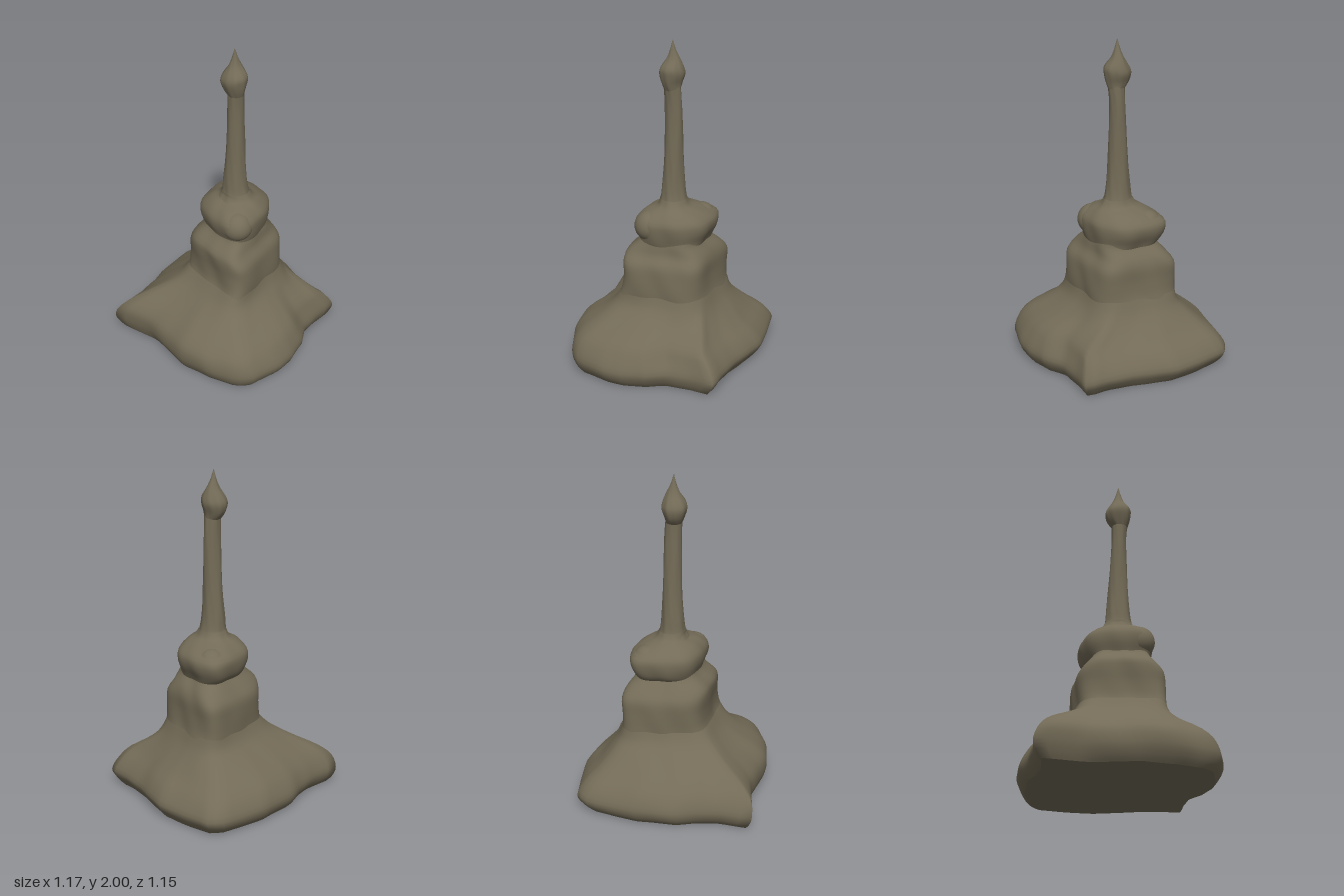
import * as THREE from 'three';

const SIDES = 96;

// Irregular four-cornered ground outline (x, z)
const OUTLINE = [
  [-0.555, -0.43], [-0.51, -0.495], [-0.35, -0.54], [-0.15, -0.58], [0, -0.56], [0.12, -0.53],
  [0.28, -0.52], [0.415, -0.54], [0.42, -0.4], [0.45, -0.24], [0.53, -0.14], [0.575, 0],
  [0.585, 0.12], [0.56, 0.33], [0.5, 0.4], [0.33, 0.48], [0.13, 0.53], [0, 0.515],
  [-0.2, 0.51], [-0.455, 0.58], [-0.46, 0.4], [-0.5, 0.24], [-0.55, 0.13], [-0.59, -0.12],
].map(([x, z]) => [x / 0.59, z / 0.575]);

// Distance from the centre to the ground outline along a direction
function outlineRadius(c, s) {
  for (let i = 0; i < OUTLINE.length; i++) {
    const [ax, az] = OUTLINE[i], [bx, bz] = OUTLINE[(i + 1) % OUTLINE.length];
    const ex = bx - ax, ez = bz - az;
    const d = c * ez - s * ex;
    if (Math.abs(d) < 1e-9) continue;
    const r = (ax * ez - az * ex) / d;
    const u = (ax * s - az * c) / d;
    if (r > 0 && u >= -1e-6 && u <= 1 + 1e-6) return r;
  }
  return 1;
}

// Ring: [y, xMin, xMax, zMin, zMax, outline share, squareness, shear]
function ringPoints([y, x0, x1, z0, z1, share, n, shear], bump) {
  const hz = (z1 - z0) / 2, hx = (x1 - x0) / 2 - shear * hz;
  const points = [];
  for (let j = 0; j < SIDES; j++) {
    const t = (j / SIDES) * Math.PI * 2, c = Math.cos(t), s = Math.sin(t);
    const square = (Math.abs(c) ** n + Math.abs(s) ** n) ** (-1 / n);
    const r = share * outlineRadius(c, s) + (1 - share) * square;
    const wobble = 1 + bump * (Math.sin(5 * t + 9 * y) + Math.sin(9 * t - 17 * y + 1)) / 2;
    const px = c * r * hx * wobble, pz = s * r * hz * wobble;
    points.push((x0 + x1) / 2 + px + shear * pz, y, (z0 + z1) / 2 + pz);
  }
  return points;
}

function makeGeometry(positions, index) {
  const geometry = new THREE.BufferGeometry();
  geometry.setAttribute('position', new THREE.Float32BufferAttribute(positions, 3));
  geometry.setIndex(index);
  geometry.computeVertexNormals();
  return geometry;
}

// Smooth skin through a stack of rings, softened between them by a spline
function loft(rings, bump, steps = 3) {
  const fine = [];
  const last = rings.length - 1;
  for (let i = 0; i <= last * steps; i++) {
    const k = Math.min(Math.floor(i / steps), last - 1), f = i / steps - k;
    const at = (m) => rings[Math.max(0, Math.min(last, m))];
    fine.push(rings[0].map((_, q) => {
      const a = at(k - 1)[q], b = at(k)[q], c = at(k + 1)[q], d = at(k + 2)[q];
      return b + 0.5 * f * (c - a + f * (2 * a - 5 * b + 4 * c - d + f * (3 * (b - c) + d - a)));
    }));
  }
  const index = [];
  for (let i = 0; i < fine.length - 1; i++) {
    for (let j = 0; j < SIDES; j++) {
      const a = i * SIDES + j, b = i * SIDES + (j + 1) % SIDES;
      index.push(a, a + SIDES, b, b, a + SIDES, b + SIDES);
    }
  }
  return makeGeometry(fine.flatMap((ring) => ringPoints(ring, bump)), index);
}

// Flat underside fan
function underside(ring, bump) {
  const index = [];
  for (let j = 0; j < SIDES; j++) index.push(0, 1 + j, 1 + (j + 1) % SIDES);
  return makeGeometry([0, ring[0], 0, ...ringPoints(ring, bump)], index);
}

export function createModel() {
  const model = new THREE.Group();
  model.name = 'claySpire';
  const clay = new THREE.MeshStandardMaterial({ color: 0x736b57 });
  clay.name = 'olive clay';

  const add = (name, geometry) => {
    const mesh = new THREE.Mesh(geometry, clay);
    mesh.name = name;
    model.add(mesh);
    return mesh;
  };

  // Spreading foot with a rounded rim
  const foot = [
    [0, -0.54, 0.54, -0.52, 0.525, 1, 4, 0],
    [0.04, -0.575, 0.57, -0.55, 0.55, 1, 4, 0],
    [0.1, -0.59, 0.585, -0.575, 0.57, 1, 4, 0],
    [0.18, -0.55, 0.55, -0.53, 0.56, 1, 4, 0],
    [0.25, -0.48, 0.49, -0.46, 0.49, 0.9, 4, 0],
    [0.33, -0.4, 0.38, -0.39, 0.36, 0.6, 4, 0.05],
    [0.4, -0.335, 0.315, -0.34, 0.26, 0.2, 4.5, 0.12],
    [0.47, -0.315, 0.295, -0.31, 0.2, 0, 5, 0.2],
  ];
  add('foot', loft(foot, 0.01));
  add('footUnderside', underside(foot[0], 0.01));

  // Squarish lower tier
  add('lowerTier', loft([
    [0.45, -0.317, 0.297, -0.315, 0.205, 0, 5, 0.2],
    [0.5, -0.315, 0.295, -0.305, 0.19, 0, 5, 0.2],
    [0.58, -0.315, 0.29, -0.3, 0.187, 0, 5, 0.2],
    [0.66, -0.31, 0.28, -0.3, 0.195, 0, 5, 0.2],
    [0.72, -0.265, 0.235, -0.28, 0.19, 0, 4.5, 0.18],
    [0.78, -0.205, 0.205, -0.235, 0.13, 0, 4, 0.15],
    [0.82, -0.19, 0.19, -0.23, 0.11, 0, 4, 0.15],
  ], 0.02));

  // Swollen upper tier, longer along one diagonal
  add('upperTier', loft([
    [0.76, -0.2, 0.2, -0.235, 0.11, 0, 3.5, 0.18],
    [0.8, -0.25, 0.22, -0.25, 0.12, 0, 3, 0.22],
    [0.86, -0.275, 0.235, -0.275, 0.14, 0, 2.9, 0.22],
    [0.92, -0.27, 0.235, -0.272, 0.14, 0, 2.8, 0.22],
    [0.97, -0.185, 0.175, -0.21, 0.1, 0, 2.5, 0.15],
    [1.0, -0.11, 0.11, -0.15, 0.04, 0, 2.2, 0],
    [1.04, -0.085, 0.085, -0.13, 0.03, 0, 2, 0],
  ], 0.02));

  // Rounded lumps on opposite corners of the upper tier
  for (const [name, x, z] of [['frontLump', 0.12, 0.045], ['backLump', -0.135, -0.165]]) {
    const lump = add(name, new THREE.SphereGeometry(0.095, 24, 16));
    lump.position.set(x, 0.88, z);
  }

  // Slender shaft
  add('shaft', loft([
    [0.98, -0.12, 0.11, -0.155, 0.06, 0, 2, 0],
    [1.03, -0.085, 0.085, -0.13, 0.03, 0, 2, 0],
    [1.12, -0.075, 0.07, -0.115, 0.02, 0, 2, 0],
    [1.3, -0.06, 0.058, -0.106, 0.007, 0, 2, 0],
    [1.6, -0.042, 0.048, -0.1, 0.004, 0, 2, 0],
    [1.74, -0.042, 0.058, -0.09, 0.006, 0, 2, 0],
  ], 0.03));

  // Bulb and pointed tip
  add('finial', loft([
    [1.71, -0.04, 0.055, -0.09, 0.005, 0, 2, 0],
    [1.75, -0.07, 0.068, -0.095, 0.022, 0, 2, 0],
    [1.8, -0.082, 0.077, -0.11, 0.037, 0, 2, 0],
    [1.84, -0.068, 0.075, -0.105, 0.028, 0, 2, 0],
    [1.89, -0.038, 0.038, -0.085, -0.003, 0, 2, 0],
    [1.94, -0.018, 0.018, -0.06, -0.024, 0, 2, 0],
    [2.0, -0.001, 0.001, -0.041, -0.039, 0, 2, 0],
  ], 0.03));

  return model;
}
